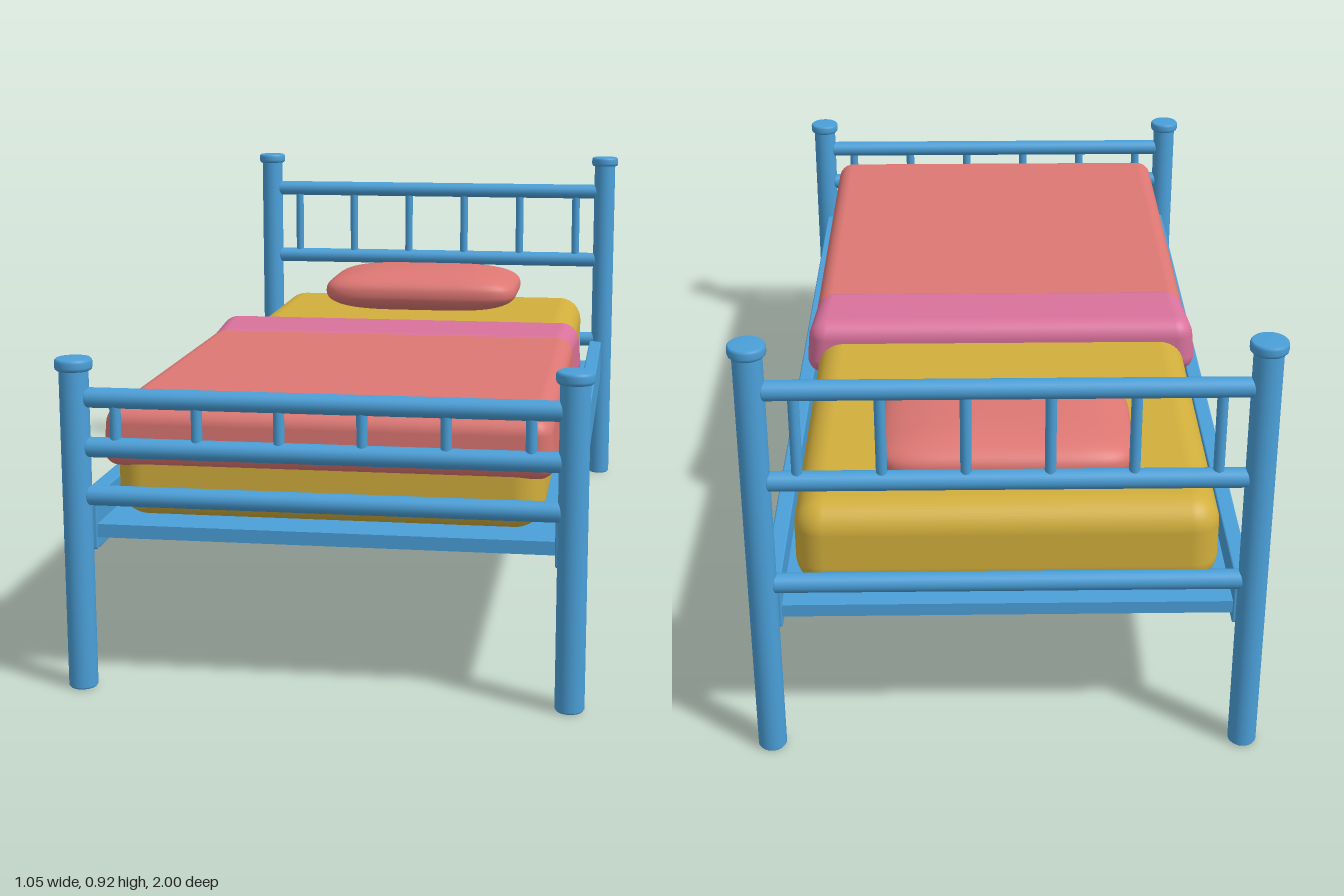
import * as THREE from 'three';
import { mergeVertices } from 'three/addons/utils/BufferGeometryUtils.js';
import { RoundedBoxGeometry } from 'three/addons/geometries/RoundedBoxGeometry.js';

const material = (name, color) => {
  const m = new THREE.MeshStandardMaterial({ color });
  m.name = name;
  return m;
};

// Moves every vertex of a geometry by a rule
function reshape(geometry, rule) {
  const pos = geometry.attributes.position;
  const v = new THREE.Vector3();
  for (let i = 0; i < pos.count; i++) {
    v.fromBufferAttribute(pos, i);
    rule(v);
    pos.setXYZ(i, v.x, v.y, v.z);
  }
  return geometry;
}

// Plump cushion: a sphere pushed out towards a rounded rectangle
function cushion(a, b, c) {
  const power = (n, e) => Math.sign(n) * Math.abs(n) ** e;
  const g = reshape(new THREE.SphereGeometry(1, 64, 32), (v) => {
    const r = Math.hypot(v.x, v.z) || 1e-9;
    const spread = power(r, 0.75);
    v.set(
      a * spread * power(v.x / r, 0.35),
      b * power(v.y, 0.8),
      c * spread * power(v.z / r, 0.35)
    );
  });
  g.deleteAttribute('uv');
  g.deleteAttribute('normal');
  const merged = mergeVertices(g, 1e-5);
  merged.computeVertexNormals();
  return merged;
}

export function createModel() {
  const model = new THREE.Group();
  model.name = 'bed';
  const blue = material('frame blue', 0x4a9fd8);
  const yellow = material('mattress yellow', 0xd1ae3c);
  const red = material('blanket red', 0xdd7773);
  const pink = material('fold pink', 0xd9729c);

  const add = (parent, name, geometry, mat, x = 0, y = 0, z = 0) => {
    const mesh = new THREE.Mesh(geometry, mat);
    mesh.name = name;
    mesh.position.set(x, y, z);
    parent.add(mesh);
    return mesh;
  };

  // Post with a slightly bevelled foot
  const post = (h) => new THREE.LatheGeometry([
    [0, 0], [0.026, 0], [0.029, 0.004], [0.029, h], [0, h],
  ].map((p) => new THREE.Vector2(...p)), 32);
  // Flat round cap with soft edges
  const cap = new THREE.LatheGeometry([
    [0, 0], [0.033, 0], [0.036, 0.003], [0.037, 0.007],
    [0.037, 0.017], [0.036, 0.021], [0.033, 0.024], [0, 0.024],
  ].map((p) => new THREE.Vector2(...p)), 32);
  // Horizontal rail with rounded ends
  const rail = new THREE.LatheGeometry([
    [0, -0.466], [0.016, -0.466], [0.02, -0.46],
    [0.02, 0.46], [0.016, 0.466], [0, 0.466],
  ].map((p) => new THREE.Vector2(...p)), 24).rotateZ(-Math.PI / 2);

  // Headboard and footboard: posts, rails and spindles
  const ends = [
    { name: 'footboard', z: 0.963, top: 0.645, rails: [0.395, 0.492, 0.591] },
    { name: 'headboard', z: -0.963, top: 0.9, rails: [0.395, 0.628, 0.825] },
  ];
  for (const { name, z, top, rails } of ends) {
    const end = new THREE.Group();
    end.name = name;
    end.position.z = z;
    model.add(end);
    for (const side of [-1, 1]) {
      add(end, 'post', post(top), blue, side * 0.486);
      add(end, 'postCap', cap, blue, side * 0.486, top);
    }
    for (const y of rails) add(end, 'rail', rail, blue, 0, y);
    const [, low, high] = rails;
    for (let i = 0; i < 6; i++) {
      add(end, 'spindle', new THREE.CylinderGeometry(0.011, 0.011, high - low, 16), blue,
        -0.405 + i * 0.162, (low + high) / 2);
    }
  }

  // Side planks and base board
  for (const side of [-1, 1]) {
    add(model, 'sideRail', new RoundedBoxGeometry(0.034, 0.112, 1.9, 2, 0.004), blue, side * 0.469, 0.336);
  }
  add(model, 'baseBoard', new THREE.BoxGeometry(0.904, 0.027, 1.9), blue, 0, 0.319);

  // Mattress
  add(model, 'mattress', new RoundedBoxGeometry(0.856, 0.195, 1.83, 6, 0.06), yellow, 0, 0.432);

  // Blanket, a little wider at the hem
  const blanket = reshape(new RoundedBoxGeometry(0.89, 0.124, 0.98, 6, 0.035), (v) => {
    v.x *= 1 - v.y * 0.2;
  });
  add(model, 'blanket', blanket, red, 0, 0.504, 0.44);

  // Turned-back fold, narrowing until it slips under the blanket surface
  const fold = reshape(new RoundedBoxGeometry(0.906, 0.134, 0.225, 6, 0.04), (v) => {
    const t = THREE.MathUtils.clamp((v.z + 0.07) / 0.18, 0, 1);
    v.x *= (1 - v.y * 0.2) * (1 - 0.025 * t);
    v.y *= 1 - 0.14 * t;
  });
  add(model, 'blanketFold', fold, pink, 0, 0.509, -0.063);

  // Pillow
  add(model, 'pillow', cushion(0.262, 0.058, 0.174), red, 0, 0.582, -0.685);

  return model;
}
